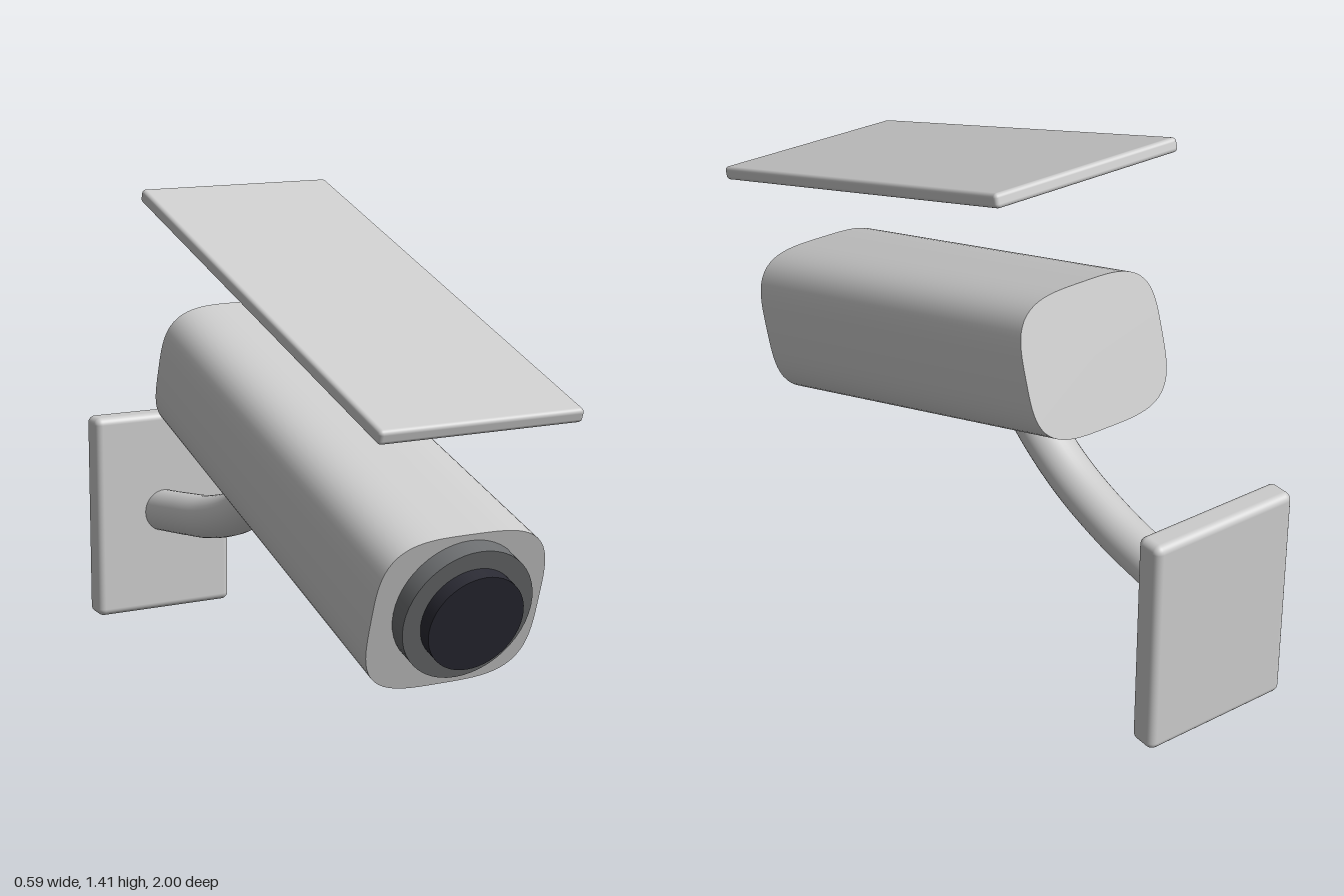
import * as THREE from 'three';
import { RoundedBoxGeometry } from 'three/addons/geometries/RoundedBoxGeometry.js';

const TILT = Math.PI / 10;

function part(name, geometry, material, x = 0, y = 0, z = 0) {
  const mesh = new THREE.Mesh(geometry, material);
  mesh.name = name;
  mesh.position.set(x, y, z);
  return mesh;
}

// Tapered housing: a cylinder reshaped into a soft square cross-section
function housingGeometry(length) {
  const n = 3.6;
  const geo = new THREE.CylinderGeometry(1, 1, length, 96, 1);
  geo.rotateX(Math.PI / 2);
  const p = geo.attributes.position;
  for (let i = 0; i < p.count; i++) {
    const x = p.getX(i), y = p.getY(i), front = p.getZ(i) > 0;
    if (Math.hypot(x, y) < 0.5) continue; // cap centres
    const s = Math.pow(Math.abs(x) ** n + Math.abs(y) ** n, -1 / n);
    p.setX(i, x * s * (front ? 0.25 : 0.23));
    p.setY(i, y * s * (front ? 0.226 : 0.204));
  }
  geo.computeVertexNormals();
  return geo;
}

function barrel(radius, back, front) {
  const geo = new THREE.CylinderGeometry(radius, radius, front - back, 48);
  geo.rotateX(Math.PI / 2);
  geo.translate(0, 0.019, (front + back) / 2);
  return geo;
}

export function createModel() {
  const shell = new THREE.MeshStandardMaterial({ name: 'light grey shell', color: 0xcccccc });
  const rim = new THREE.MeshStandardMaterial({ name: 'dark grey rim', color: 0x6c6e70 });
  const glass = new THREE.MeshStandardMaterial({ name: 'black glass', color: 0x2a2a33 });

  const model = new THREE.Group();
  model.name = 'securityCamera';

  // Tilted camera head
  const head = new THREE.Group();
  head.name = 'cameraHead';
  head.position.set(0, 0.6625, 0.2075);
  head.rotation.x = TILT;
  head.add(
    part('housing', housingGeometry(1.372), shell),
    part('lensRing', barrel(0.189, 0.67, 0.74), rim),
    part('lens', barrel(0.138, 0.72, 0.782), glass)
  );
  model.add(head);

  // Sun shield floating above the housing
  const shield = part('sunShield', new RoundedBoxGeometry(0.594, 0.04, 1.454, 3, 0.012), shell, 0, 1.172, 0.2875);
  shield.rotation.x = TILT;
  model.add(shield);

  // Curved arm from the housing to the wall plate
  const path = new THREE.CatmullRomCurve3([
    [0.68, -0.06], [0.56, -0.17], [0.45, -0.35], [0.382, -0.556], [0.35, -0.74], [0.323, -0.925],
  ].map(([y, z]) => new THREE.Vector3(0, y, z)));
  model.add(part('arm', new THREE.TubeGeometry(path, 48, 0.066, 32), shell));

  // Wall plate
  model.add(part('wallPlate', new RoundedBoxGeometry(0.457, 0.64, 0.084, 4, 0.022), shell, 0, 0.32, -0.957));

  return model;
}
